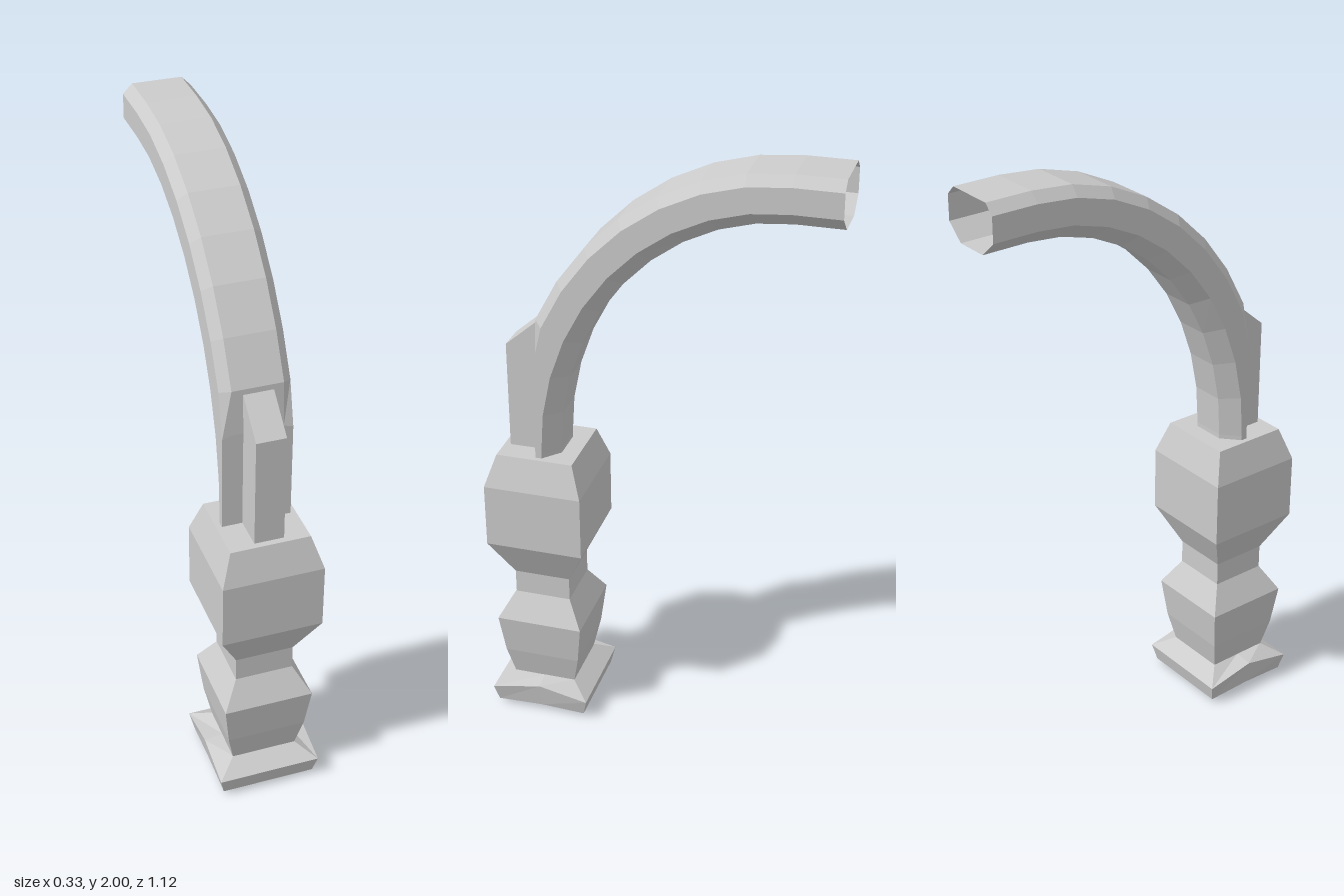
import * as THREE from 'three';

const CENTRE_Z = 0.39; // axis of the post

// Skin a series of closed rings; rings run counter-clockwise seen against the direction of travel.
function loft(rings, capped) {
  const n = rings[0].length, index = [];
  const positions = rings.flat(2);
  for (let i = 0; i < rings.length - 1; i++) {
    for (let j = 0; j < n; j++) {
      const k = (j + 1) % n;
      const a = i * n + j, b = i * n + k, c = b + n, d = a + n;
      index.push(a, b, c, a, c, d);
    }
  }
  if (capped) {
    const top = (rings.length - 1) * n;
    for (let j = 1; j < n - 1; j++) {
      index.push(0, j + 1, j);
      index.push(top, top + j, top + j + 1);
    }
  }
  const geometry = new THREE.BufferGeometry();
  geometry.setAttribute('position', new THREE.Float32BufferAttribute(positions, 3));
  geometry.setIndex(index);
  const flat = geometry.toNonIndexed();
  flat.computeVertexNormals();
  return flat;
}

// Square ring with side midpoints; peak lifts the midpoints of the two x sides.
function squareRing(half, y, peak = 0) {
  const outline = [[1, 1], [1, 0], [1, -1], [0, -1], [-1, -1], [-1, 0], [-1, 1], [0, 1]];
  return outline.map(([x, z]) => [x * half, y + (z === 0 ? peak : 0), CENTRE_Z + z * half]);
}

// Chamfered arm section: half width and depth from inner (0) to outer (1) face.
const SECTION = [
  [0.08, 1], [0.11, 0.81], [0.11, 0.31], [0.055, 0],
  [-0.055, 0], [-0.11, 0.31], [-0.11, 0.81], [-0.08, 1],
];

// Section on the quarter ellipse; the front is cut off flat at the post axis.
function armRing(angle, dy = 0, dz = 0) {
  return SECTION.map(([x, t]) => [
    x,
    0.99 + (0.85 + 0.16 * t) * Math.cos(angle) + dy,
    Math.min(-0.41 + (0.73 + 0.16 * t) * Math.sin(angle) + dz, CENTRE_Z),
  ]);
}

export function createModel() {
  const model = new THREE.Group();
  const material = new THREE.MeshStandardMaterial({ color: 0xcccccc, flatShading: true });
  const openMaterial = material.clone();
  openMaterial.side = THREE.DoubleSide;

  function add(name, geometry, mat = material) {
    const mesh = new THREE.Mesh(geometry, mat);
    mesh.name = name;
    model.add(mesh);
  }

  // Foot plate with raised lips on both sides
  add('footPlate', loft([
    squareRing(0.1, 0),
    squareRing(0.153, 0.012, 0.006),
    squareRing(0.167, 0.07, 0.035),
    squareRing(0.105, 0.112),
  ], true));

  // Square post with a waisted profile
  const profile = [
    [0.105, 0.105], [0.128, 0.21], [0.145, 0.347], [0.094, 0.435],
    [0.094, 0.515], [0.162, 0.653], [0.162, 0.868], [0.127, 0.975],
  ];
  add('post', loft(profile.map(([half, y]) => squareRing(half, y)), true));

  // Curved hollow arm, open at its far end
  const rings = [armRing(Math.PI / 2, -0.03)];
  for (let i = 10; i >= 0; i--) rings.push(armRing(i * Math.PI / 20));
  rings.push(armRing(0, 0, -0.15));
  add('curvedArm', loft(rings, false), openMaterial);

  // Upright rib in front of the arm
  const rib = new THREE.Shape([
    [0.385, 0.965], [0.497, 0.965], [0.497, 1.335], [0.385, 1.432],
  ].map(([z, y]) => new THREE.Vector2(z, y)));
  const ribGeometry = new THREE.ExtrudeGeometry(rib, { depth: 0.094, bevelEnabled: false });
  ribGeometry.rotateY(-Math.PI / 2).translate(0.049, 0, 0);
  add('frontRib', ribGeometry);

  return model;
}
